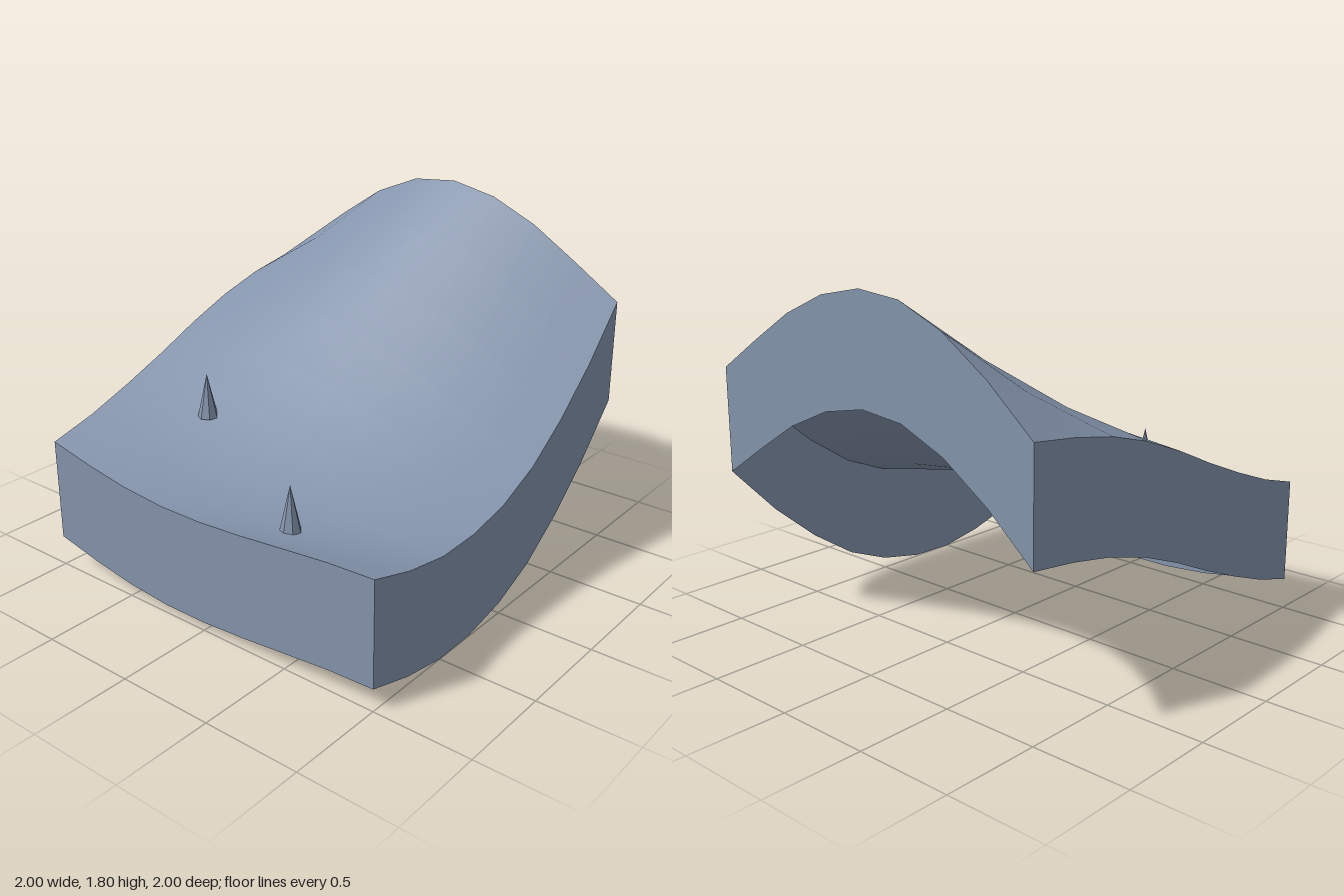
import * as THREE from 'three';

// Edge heights at nine evenly spaced stations
const FRONT = [0.692, 0.638, 0.596, 0.574, 0.574, 0.59, 0.613, 0.635, 0.645]; // x -1 to 1
const BACK = [1.3, 1.51, 1.675, 1.777, 1.8, 1.75, 1.64, 1.485, 1.322]; // x -1 to 1
const LEFT = [1.322, 1.065, 0.855, 0.69, 0.588, 0.538, 0.532, 0.573, 0.645]; // z -1 to 1
const RIGHT = [1.3, 1.27, 1.225, 1.155, 1.06, 0.95, 0.85, 0.76, 0.692]; // z -1 to 1
const SAG = [0, 0.02, 0.055, 0.09, 0.12, 0.135, 0.135, 0.1, 0]; // depth of the valley, z -1 to 1
const N = 8;
const SKIRT = 0.532;

// Height blended from the four edges, with a valley left of the middle
function height(i, j) {
  const u = i / N, v = j / N;
  const sides = (1 - u) * RIGHT[j] + u * LEFT[j];
  const ends = (1 - v) * BACK[i] + v * FRONT[i];
  const corners = (1 - v) * ((1 - u) * BACK[0] + u * BACK[N]) + v * ((1 - u) * FRONT[0] + u * FRONT[N]);
  return sides + ends - corners - SAG[j] * Math.sin(Math.PI * u ** 1.3);
}

const point = (i, j) => [-1 + (2 * i) / N, height(i, j), -1 + (2 * j) / N];

function surface(positions, index) {
  const geometry = new THREE.BufferGeometry();
  geometry.setAttribute('position', new THREE.Float32BufferAttribute(positions, 3));
  geometry.setIndex(index);
  geometry.computeVertexNormals();
  return geometry;
}

// Smooth rolling ground
function groundGeometry() {
  const positions = [], index = [];
  for (let j = 0; j <= N; j++) for (let i = 0; i <= N; i++) positions.push(...point(i, j));
  for (let j = 0; j < N; j++) {
    for (let i = 0; i < N; i++) {
      const a = j * (N + 1) + i, b = a + 1, c = a + N + 1, d = c + 1;
      index.push(a, c, b, b, c, d);
    }
  }
  return surface(positions, index);
}

// Flat wall hanging below one edge of the ground
function skirtGeometry(edge) {
  const positions = [], index = [];
  for (let k = 0; k <= N; k++) {
    const [x, y, z] = edge(k);
    positions.push(x, y, z, x, y - SKIRT, z);
    if (k < N) {
      const a = 2 * k;
      index.push(a, a + 1, a + 2, a + 2, a + 1, a + 3);
    }
  }
  return surface(positions, index);
}

export function createModel() {
  const group = new THREE.Group();
  const slate = new THREE.MeshStandardMaterial({ color: 0x8494ac, side: THREE.DoubleSide });
  slate.name = 'slate blue';

  const add = (name, geometry) => {
    const mesh = new THREE.Mesh(geometry, slate);
    mesh.name = name;
    group.add(mesh);
    return mesh;
  };

  add('ground', groundGeometry());

  // Walls, each running so that its outside faces outward
  add('frontSkirt', skirtGeometry((k) => point(k, N)));
  add('backSkirt', skirtGeometry((k) => point(N - k, 0)));
  add('leftSkirt', skirtGeometry((k) => point(N, N - k)));
  add('rightSkirt', skirtGeometry((k) => point(0, k)));

  // Small faceted pointed trees standing on the ground
  for (const [name, x, base, z] of [['rightTree', -0.5, 0.77, 0.417], ['leftTree', 0.333, 0.54, 0.75]]) {
    const cone = new THREE.ConeGeometry(0.052, 0.23, 7).toNonIndexed();
    cone.computeVertexNormals();
    add(name, cone).position.set(x, base + 0.115, z);
  }
  return group;
}
